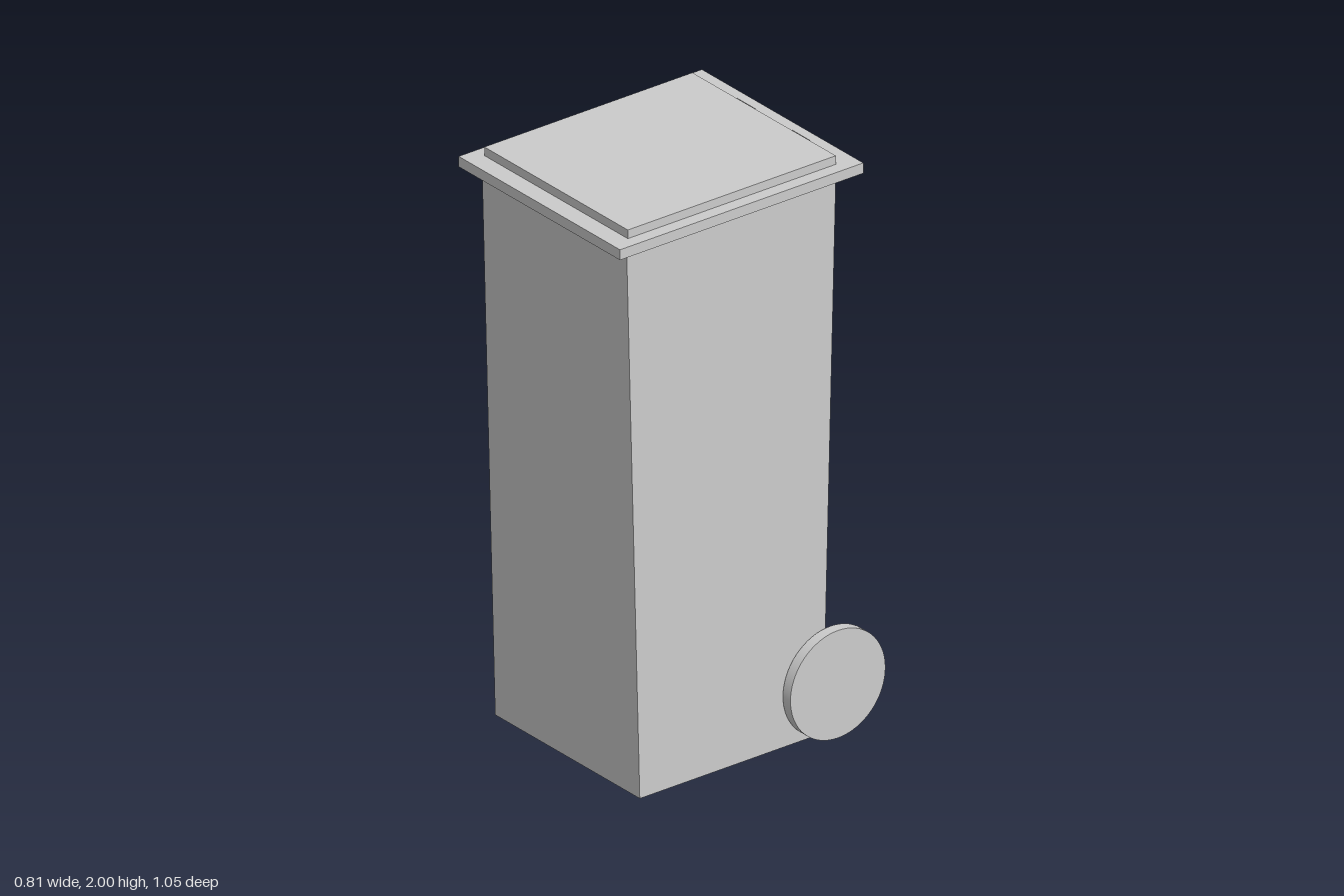
import * as THREE from 'three';

const material = new THREE.MeshStandardMaterial({ color: 0xcccccc });

function addPart(parent, name, geometry, x = 0, y = 0, z = 0) {
  const mesh = new THREE.Mesh(geometry, material);
  mesh.name = name;
  mesh.position.set(x, y, z);
  parent.add(mesh);
  return mesh;
}

// Rectangle corners, counter-clockwise
function rect(x0, y0, x1, y1) {
  return [[x0, y0], [x1, y0], [x1, y1], [x0, y1]].map(([x, y]) => new THREE.Vector2(x, y));
}

export function createModel() {
  const bin = new THREE.Group();
  bin.name = 'wheeledBin';

  // Body: side profile (z, y) tapering towards the base, extruded across the width
  const halfWidth = 0.363;
  const profile = new THREE.Shape([[-0.41, 0.008], [0.312, 0.008], [0.363, 1.935], [-0.462, 1.935]]
    .map(([z, y]) => new THREE.Vector2(z, y)));
  const body = new THREE.ExtrudeGeometry(profile, { depth: halfWidth * 2, bevelEnabled: false });
  body.translate(0, 0, -halfWidth).rotateY(Math.PI / 2);
  addPart(bin, 'body', body);

  // Lid rim: flat plate with two hand slots behind the raised panel
  const rim = new THREE.Shape(rect(-0.405, -0.521, 0.405, 0.438));
  for (const x of [-0.183, 0.091]) {
    rim.holes.push(new THREE.Path(rect(x, 0.365, x + 0.092, 0.403).reverse()));
  }
  const rimGeometry = new THREE.ExtrudeGeometry(rim, { depth: 0.036, bevelEnabled: false });
  rimGeometry.rotateX(-Math.PI / 2);
  addPart(bin, 'lidRim', rimGeometry, 0, 1.934, 0);

  // Raised lid panel
  addPart(bin, 'lidPanel', new THREE.BoxGeometry(0.72, 0.032, 0.82), 0, 1.984, 0.045);

  // Axle and wheels
  const axleY = 0.187, axleZ = -0.338;
  const axle = new THREE.CylinderGeometry(0.02, 0.02, 0.734, 24).rotateZ(Math.PI / 2);
  addPart(bin, 'axle', axle, 0, axleY, axleZ);
  const wheel = new THREE.CylinderGeometry(0.187, 0.187, 0.038, 64).rotateZ(Math.PI / 2);
  for (const [name, side] of [['leftWheel', 1], ['rightWheel', -1]]) {
    addPart(bin, name, wheel, side * 0.386, axleY, axleZ);
  }

  return bin;
}
